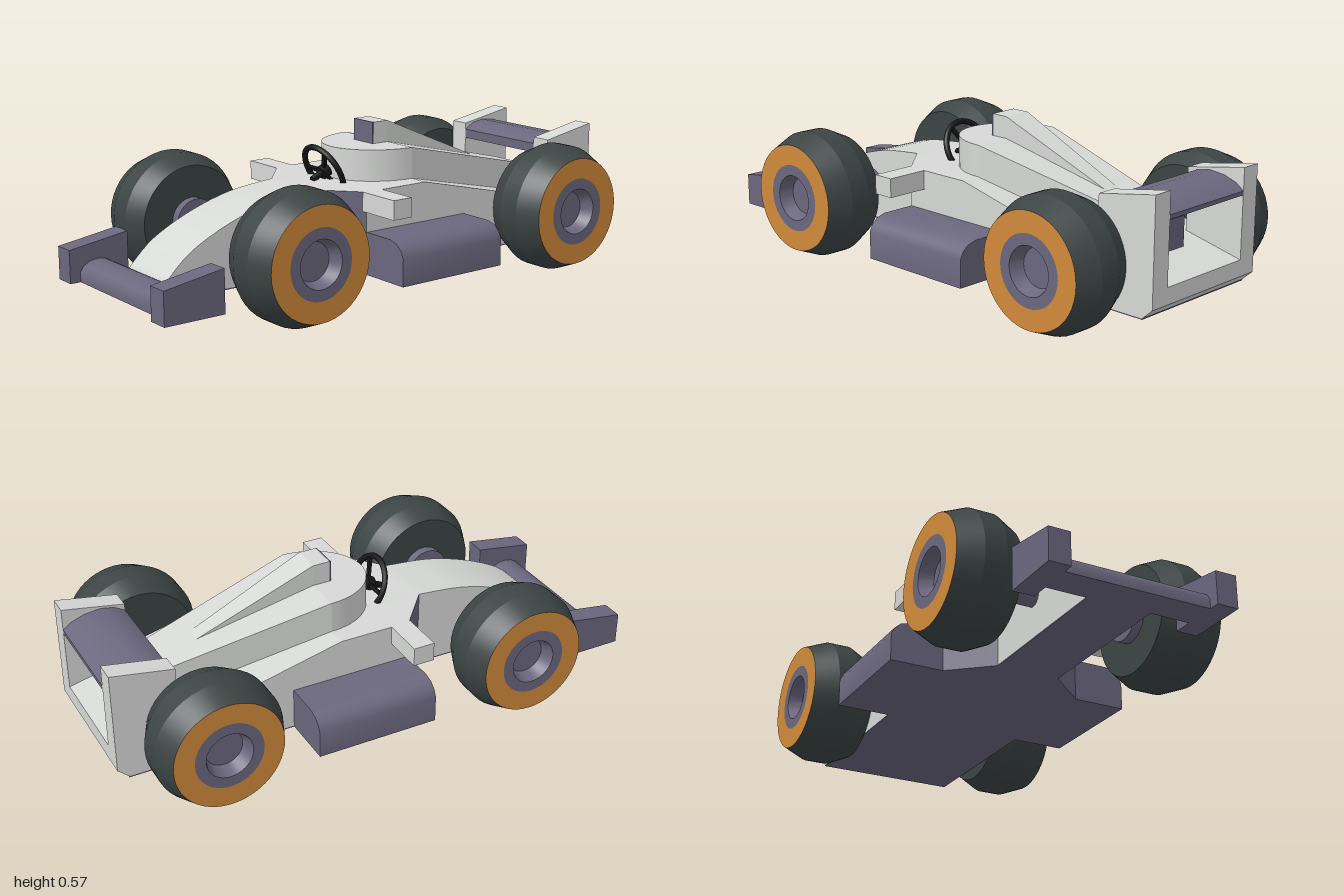
import * as THREE from 'three';
import { toCreasedNormals } from 'three/addons/utils/BufferGeometryUtils.js';

const paint = (name, color) => {
  const m = new THREE.MeshStandardMaterial({ color });
  m.name = name;
  return m;
};

export function createModel() {
  const model = new THREE.Group();
  model.name = 'raceCar';
  const white = paint('body white', 0xd6d8d6);
  const purple = paint('trim purple', 0x6b677e);
  const rubber = paint('tyre rubber', 0x3c4444);
  const orange = paint('rim orange', 0xd08a3a);
  const black = paint('steering black', 0x161616);

  const add = (name, geo, mat, parent = model) => {
    const mesh = new THREE.Mesh(geo, mat);
    mesh.name = name;
    parent.add(mesh);
    return mesh;
  };
  const shapeOf = (pts) => new THREE.Shape(pts.map(([a, b]) => new THREE.Vector2(a, b)));
  const extrude = (pts, depth) =>
    new THREE.ExtrudeGeometry(shapeOf(pts), { depth, bevelEnabled: false });
  // Side profile of [z, y] points, extruded across x
  const acrossX = (pts, x0, x1) => extrude(pts, x1 - x0).rotateY(-Math.PI / 2).translate(x1, 0, 0);
  // Plan outline of [x, z] points, extruded upwards
  const upY = (pts, y0, y1) =>
    extrude(pts.map(([x, z]) => [x, -z]), y1 - y0).rotateX(-Math.PI / 2).translate(0, y0, 0);
  const smooth = (geo, angle = 0.6) => toCreasedNormals(geo, angle);
  // Lower the top vertices behind z0 to make a falling top
  const slopeTop = (geo, y0, z0, slope) => {
    const p = geo.attributes.position;
    for (let i = 0; i < p.count; i++) {
      if (p.getY(i) > y0 + 0.01 && p.getZ(i) < z0) p.setY(i, p.getY(i) - slope * (z0 - p.getZ(i)));
    }
    geo.computeVertexNormals();
    return geo;
  };
  const box = (name, x0, x1, y0, y1, z0, z1, mat) =>
    add(name, new THREE.BoxGeometry(x1 - x0, y1 - y0, z1 - z0)
      .translate((x0 + x1) / 2, (y0 + y1) / 2, (z0 + z1) / 2), mat);

  // Nose with a curved top
  const nose = new THREE.SplineCurve([[0.86, 0.13], [0.84, 0.16], [0.75, 0.238], [0.6, 0.31], [0.43, 0.36], [0.25, 0.38]]
    .map(([z, y]) => new THREE.Vector2(z, y))).getPoints(20).map((p) => [p.x, Math.min(p.y, 0.38)]);
  add('nose', smooth(acrossX([[0.1, 0.084], [0.86, 0.084], ...nose, [0.1, 0.38]], -0.12, 0.12), 0.4), white);

  // Widening shoulder with angled intake panels
  add('shoulder', upY([[-0.12, 0.25], [0.12, 0.25], [0.27, 0.12], [-0.27, 0.12]], 0.084, 0.38), [white, purple]);

  // Main body with its falling rear deck
  add('mainBody', acrossX([[0.12, 0.084], [0.12, 0.38], [-0.15, 0.38], [-1, 0.18],
    [-1, 0.12], [-0.96, 0.084]], -0.27, 0.27), white);

  // Floor
  add('floor', upY([[-0.12, 0.86], [0.12, 0.86], [0.12, 0.25], [0.27, 0.12], [0.27, -0.96],
    [-0.27, -0.96], [-0.27, 0.12], [-0.12, 0.25]], 0.08, 0.0845), purple);

  // Engine cowl: round front and tapering tail
  const round = [];
  for (let i = 0; i <= 24; i++) {
    const a = (i / 24) * Math.PI;
    round.push([0.195 * Math.cos(a), -0.15 + 0.22 * Math.sin(a)]);
  }
  add('cowlFront', smooth(upY(round, 0.3, 0.495)), white);
  add('cowlTail', slopeTop(upY([[0.195, -0.15], [0.09, -0.84], [-0.09, -0.84], [-0.195, -0.15]],
    0.17, 0.495), 0.17, -0.15, 0.24), white);
  box('cowlOutlet', -0.088, 0.088, 0.19, 0.326, -0.843, -0.838, purple);

  // Air scoop over the cowl
  box('scoopFront', -0.055, 0.055, 0.45, 0.575, -0.15, -0.085, white);
  box('scoopIntake', -0.055, 0.055, 0.495, 0.575, -0.086, -0.08, purple);
  add('scoopTail', slopeTop(upY([[0.055, -0.15], [0.03, -0.6], [-0.03, -0.6], [-0.055, -0.15]],
    0.34, 0.575), 0.34, -0.15, 0.42), white);

  // Wing crossbars
  add('frontWing', smooth(acrossX([[0.84, 0.08], [0.84, 0.14], [0.865, 0.152], [0.89, 0.155],
    [0.92, 0.15], [0.945, 0.137], [0.96, 0.115], [0.96, 0.08]], -0.27, 0.27)), purple);
  add('rearWing', smooth(acrossX([[-0.77, 0.4], [-0.77, 0.435], [-0.81, 0.458], [-0.86, 0.467],
    [-0.92, 0.46], [-0.97, 0.442], [-1, 0.42], [-1, 0.405]], -0.195, 0.195)), purple);

  // Parts on both sides
  for (const [side, s] of [['left', 1], ['right', -1]]) {
    const span = (a, b) => (s > 0 ? [a, b] : [-b, -a]);
    add(side + 'FrontEndplate', acrossX([[0.77, 0.08], [1, 0.08], [1, 0.2], [0.77, 0.235]], ...span(0.27, 0.35)), purple);
    add(side + 'RearEndplate', acrossX([[-0.77, 0.18], [-0.77, 0.46], [-1, 0.5], [-1, 0.17]], ...span(0.195, 0.27)), white);
    box(side + 'MirrorArm', ...span(0.26, 0.43), 0.31, 0.38, 0.05, 0.13, white);
    const pod = [[0.26, 0.08], [0.47, 0.08], [0.47, 0.18], [0.458, 0.205], [0.435, 0.225], [0.4, 0.235], [0.26, 0.235]];
    add(side + 'Sidepod', smooth(extrude(pod.map(([x, y]) => [s * x, y]), 0.46).translate(0, 0, -0.34)), purple);
  }

  // Wheels: tyre, painted ring and dished hub turned around the axle
  const lathe = (pts) => smooth(new THREE.LatheGeometry(pts.map(([r, h]) => new THREE.Vector2(r, h)), 48), 0.3);
  const tyre = lathe([[0, -0.12], [0.2, -0.12], [0.235, -0.045], [0.235, 0.035], [0.2, 0.12]]);
  const ring = lathe([[0.2, 0.12], [0.125, 0.12]]);
  const hub = lathe([[0.125, 0.12], [0.085, 0.12], [0.068, 0.07], [0, 0.07]]);
  for (const [end, z] of [['front', 0.5], ['rear', -0.69]]) {
    for (const [side, s] of [['Left', 1], ['Right', -1]]) {
      const wheel = new THREE.Group();
      wheel.name = end + side + 'Wheel';
      add('tyre', tyre, rubber, wheel);
      add('rimRing', ring, orange, wheel);
      add('hub', hub, purple, wheel);
      wheel.rotation.z = -s * Math.PI / 2;
      wheel.position.set(s * 0.39, 0.235, z);
      model.add(wheel);
    }
  }

  // Front axle and brake drums
  const rod = (r, x0, x1) => new THREE.CylinderGeometry(r, r, x1 - x0, 32)
    .rotateZ(Math.PI / 2).translate((x0 + x1) / 2, 0.235, 0.5);
  add('frontAxle', rod(0.037, -0.25, 0.25), purple);
  add('leftBrakeDrum', rod(0.083, 0.235, 0.275), purple);
  add('rightBrakeDrum', rod(0.083, -0.275, -0.235), purple);

  // Steering wheel, leaning forward
  const steering = new THREE.Group();
  steering.name = 'steeringWheel';
  add('steeringRim', new THREE.TorusGeometry(0.101, 0.011, 10, 40), black, steering);
  add('steeringHub', new THREE.CylinderGeometry(0.026, 0.026, 0.03, 20).rotateX(Math.PI / 2), black, steering);
  add('steeringColumn', new THREE.CylinderGeometry(0.012, 0.012, 0.06, 12)
    .rotateX(Math.PI / 2).translate(0, 0, 0.03), black, steering);
  for (const a of [Math.PI, Math.PI / 3, -Math.PI / 3]) {
    add('steeringSpoke', new THREE.BoxGeometry(0.1, 0.014, 0.012).translate(0.05, 0, 0).rotateZ(a), black, steering);
  }
  steering.position.set(0, 0.408, 0.102);
  steering.rotation.x = 0.43;
  model.add(steering);

  return model;
}
